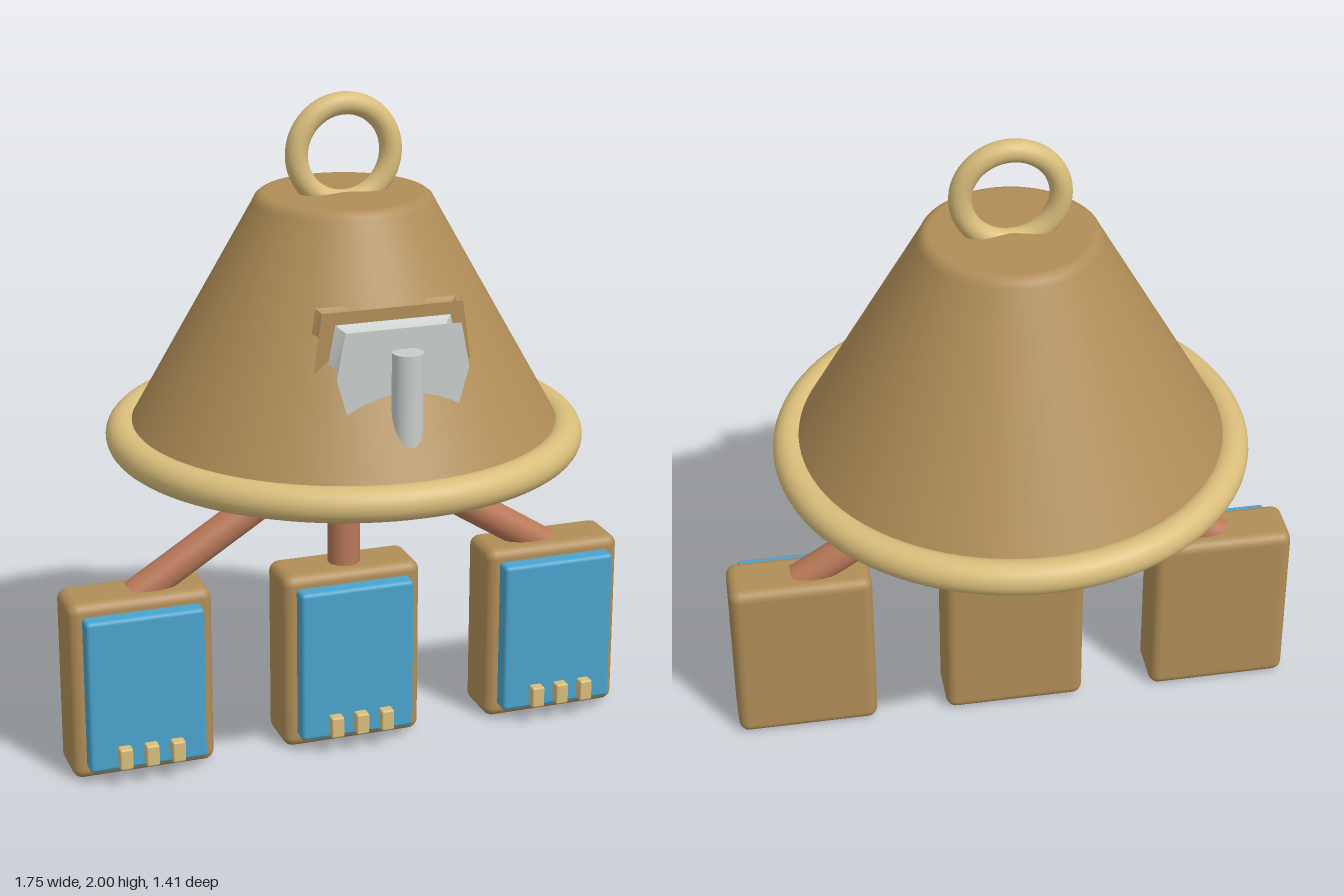
import * as THREE from 'three';
import { toCreasedNormals } from 'three/addons/utils/BufferGeometryUtils.js';
import { RoundedBoxGeometry } from 'three/addons/geometries/RoundedBoxGeometry.js';

const material = (name, color) => {
  const m = new THREE.MeshStandardMaterial({ color });
  m.name = name;
  return m;
};

export function createModel() {
  const brown = material('brown', 0xb08d57);
  const gold = material('pale gold', 0xd9bd7b);
  const copper = material('copper', 0xb87858);
  const blue = material('blue', 0x4aa3cc);
  const silver = material('silver', 0xc8cecb);

  const model = new THREE.Group();
  model.name = 'hangingBell';

  const add = (parent, name, geometry, mat, x = 0, y = 0, z = 0) => {
    const mesh = new THREE.Mesh(geometry, mat);
    mesh.name = name;
    mesh.position.set(x, y, z);
    parent.add(mesh);
    return mesh;
  };

  // Straight rod between two points
  const addRod = (parent, name, a, b, radius, mat) => {
    const dir = b.clone().sub(a);
    const rod = add(parent, name, new THREE.CylinderGeometry(radius, radius, dir.length(), 32), mat);
    rod.position.copy(a).add(b).multiplyScalar(0.5);
    rod.quaternion.setFromUnitVectors(new THREE.Vector3(0, 1, 0), dir.normalize());
  };

  // Mirrored plate whose edge is hollowed between its back and front faces
  const hollowPlate = (half, z0, z1, dent) => {
    const mirrored = half.map(([x, y]) => [-x, y]).reverse();
    const shape = new THREE.Shape([...half, ...mirrored].map(([x, y]) => new THREE.Vector2(x, y)));
    const depth = z1 - z0;
    const geo = new THREE.ExtrudeGeometry(shape, { depth, steps: 8, bevelEnabled: false });
    const cy = 1.3;
    const p = geo.attributes.position;
    for (let i = 0; i < p.count; i++) {
      const s = 1 - dent * Math.sin((Math.PI * p.getZ(i)) / depth);
      p.setXYZ(i, p.getX(i) * s, cy + (p.getY(i) - cy) * s, p.getZ(i) + z0);
    }
    return toCreasedNormals(geo, 0.6);
  };

  // Bell body with a softened upper edge and a closed underside
  const profile = [
    [0.652, 0.99], [0.272, 1.67], [0.266, 1.681], [0.258, 1.697],
    [0.244, 1.708], [0.23, 1.71], [0, 1.71],
  ].map(([x, y]) => new THREE.Vector2(x, y));
  add(model, 'bellBody', new THREE.LatheGeometry(profile, 96), brown);
  add(model, 'bellUnderside', new THREE.CircleGeometry(0.652, 96), brown, 0, 0.99, 0).rotation.x = Math.PI / 2;

  // Rim and hanging ring
  add(model, 'rim', new THREE.TorusGeometry(0.655, 0.051, 24, 96), gold, 0, 0.99, 0).rotation.x = Math.PI / 2;
  add(model, 'hangingRing', new THREE.TorusGeometry(0.143, 0.033, 20, 64), gold, 0, 1.824, 0);

  // Clasp on the front
  const clasp = new THREE.Group();
  clasp.name = 'clasp';
  model.add(clasp);
  add(clasp, 'claspBackPlate',
    hollowPlate([[0.2, 1.16], [0.232, 1.31], [0.208, 1.475]], 0.36, 0.417, 0.1), brown);
  add(clasp, 'claspBlock',
    hollowPlate([[0.15, 1.15], [0.165, 1.205], [0.195, 1.31], [0.17, 1.44]], 0.42, 0.505, 0.17), silver);
  add(clasp, 'claspPin', new THREE.CylinderGeometry(0.044, 0.044, 0.3, 32), silver, 0, 1.23, 0.537);

  // Small ball under the bell
  add(model, 'clapperBall', new THREE.SphereGeometry(0.095, 32, 20), silver, 0, 0.99, 0.2);

  // Three hanging boxes, each with arm, panel and buttons
  const top = new THREE.Vector3(0, 0.95, 0);
  for (const [side, x] of [['right', -0.656], ['middle', 0], ['left', 0.656]]) {
    const unit = new THREE.Group();
    unit.name = side + 'Pendant';
    model.add(unit);
    addRod(unit, 'arm', top, new THREE.Vector3(x, 0.535, 0), 0.049, copper);
    add(unit, 'box', new RoundedBoxGeometry(0.436, 0.56, 0.176, 5, 0.032), brown, x, 0.283, 0);
    add(unit, 'panel', new RoundedBoxGeometry(0.358, 0.48, 0.08, 3, 0.013), blue, x, 0.284, 0.097);
    for (const dx of [-0.08, 0, 0.08]) {
      add(unit, 'button', new RoundedBoxGeometry(0.04, 0.066, 0.036, 2, 0.006), gold, x + dx, 0.097, 0.166);
    }
  }

  return model;
}
